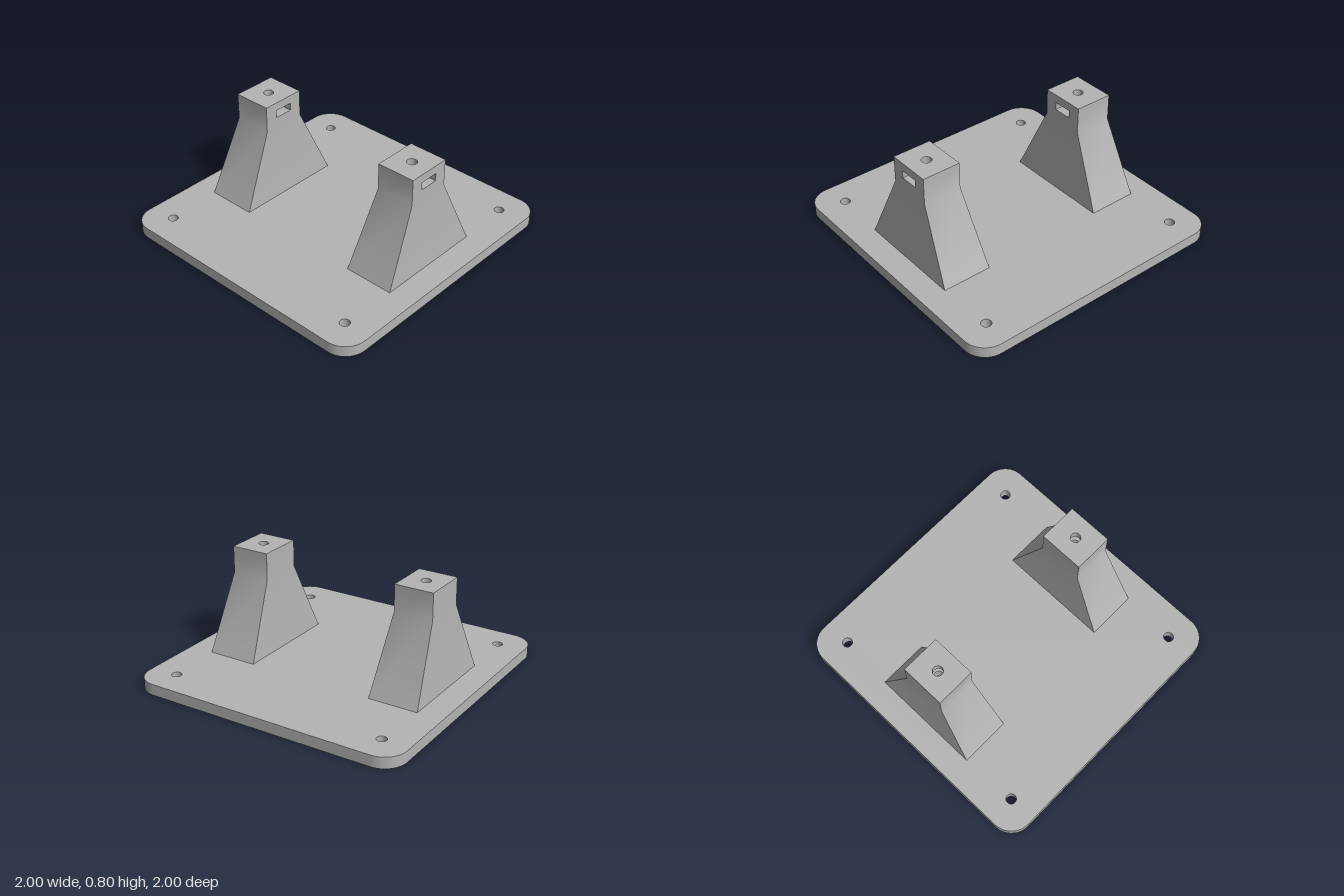
import * as THREE from 'three';
import { mergeGeometries, toCreasedNormals } from 'three/addons/utils/BufferGeometryUtils.js';

const PLATE_TOP = 0.08, NECK = 0.61, TOP = 0.8;
const SLOT_LOW = 0.685, SLOT_HIGH = 0.74, SLOT_R = 0.068;
const HOLE_R = 0.035, HOLE_FLOOR = 0.6;

// Keep positions only, so that pieces can be merged
function bare(geometry) {
  const g = geometry.index ? geometry.toNonIndexed() : geometry;
  g.deleteAttribute('normal');
  g.deleteAttribute('uv');
  return g;
}

// Walls between two matching outlines of [x, y, z] points
function walls(low, high) {
  const p = [];
  for (let i = 0; i < low.length - 1; i++) {
    p.push(...low[i], ...low[i + 1], ...high[i + 1], ...low[i], ...high[i + 1], ...high[i]);
  }
  const g = new THREE.BufferGeometry();
  g.setAttribute('position', new THREE.Float32BufferAttribute(p, 3));
  return g;
}

function circlePath(x, y, r) {
  return new THREE.Path().absarc(x, y, r, 0, Math.PI * 2, true);
}

// Flat face from [x, y] points with optional holes
function face(points, ...holes) {
  const s = new THREE.Shape(points.map(([x, y]) => new THREE.Vector2(x, y)));
  s.holes.push(...holes);
  return new THREE.ShapeGeometry(s, 12);
}

const rect = (w, y0, y1) => [[-w, y0], [w, y0], [w, y1], [-w, y1]];

function plateGeometry() {
  const r = 0.16, c = 1 - r, s = new THREE.Shape();
  s.absarc(c, c, r, 0, Math.PI / 2);
  s.absarc(-c, c, r, Math.PI / 2, Math.PI);
  s.absarc(-c, -c, r, Math.PI, Math.PI * 1.5);
  s.absarc(c, -c, r, Math.PI * 1.5, Math.PI * 2);
  for (const x of [-0.8, 0.8]) for (const y of [-0.8, 0.8]) s.holes.push(circlePath(x, y, HOLE_R));
  const g = new THREE.ExtrudeGeometry(s, { depth: PLATE_TOP, bevelEnabled: false, curveSegments: 12 });
  g.rotateX(-Math.PI / 2);
  return toCreasedNormals(bare(g), 0.6);
}

function postGeometry() {
  const w = 0.16, d = 0.14;
  // Outline starting at the front right corner, running round the back
  const loop = (hw, hd, y) => [[hw, y, hd], [hw, y, -hd], [-hw, y, -hd], [-hw, y, hd]];
  const foot = loop(0.4, 0.18, PLATE_TOP), neck = loop(w, d, NECK), top = loop(w, d, TOP);

  // Nut pocket: open at the front, half a hexagon at the back
  const h = SLOT_R * Math.sqrt(3) / 2;
  const pocket = [[-SLOT_R, d], [-SLOT_R, 0], [-SLOT_R / 2, -h], [SLOT_R / 2, -h], [SLOT_R, 0], [SLOT_R, d]];
  const flipped = pocket.map(([x, z]) => [x, -z]);
  const at = y => pocket.map(([x, z]) => [x, y, z]);
  const slot = new THREE.Path(rect(SLOT_R, SLOT_LOW, SLOT_HIGH).map(([x, y]) => new THREE.Vector2(x, y)));
  const hole = () => circlePath(0, 0, HOLE_R);

  // Inward-facing length of the screw hole
  const bore = (y0, y1) => new THREE.CylinderGeometry(HOLE_R, HOLE_R, y1 - y0, 24, 1, true)
    .scale(-1, 1, 1).translate(0, (y0 + y1) / 2, 0);

  const parts = [
    walls([...foot, foot[0]], [...neck, neck[0]]),
    walls(neck, top),
    face(rect(w, NECK, TOP), slot).translate(0, 0, d),
    face(rect(w, -d, d), hole()).rotateX(-Math.PI / 2).translate(0, TOP, 0),
    walls(at(SLOT_LOW), at(SLOT_HIGH)),
    face(flipped, hole()).rotateX(-Math.PI / 2).translate(0, SLOT_LOW, 0),
    face(pocket, hole()).rotateX(Math.PI / 2).translate(0, SLOT_HIGH, 0),
    bore(SLOT_HIGH, TOP),
    bore(HOLE_FLOOR, SLOT_LOW),
    new THREE.CircleGeometry(HOLE_R, 24).rotateX(-Math.PI / 2).translate(0, HOLE_FLOOR, 0),
  ];
  return toCreasedNormals(mergeGeometries(parts.map(bare)), 0.5);
}

export function createModel() {
  const group = new THREE.Group();
  group.name = 'mountingBracket';
  const grey = new THREE.MeshStandardMaterial({ color: 0xb4b4b4 });
  grey.name = 'grey';

  const plate = new THREE.Mesh(plateGeometry(), grey);
  plate.name = 'basePlate';
  group.add(plate);

  // Two identical posts, both with the nut slot facing the front
  const geometry = postGeometry();
  for (const [name, z] of [['frontPost', 0.64], ['backPost', -0.64]]) {
    const post = new THREE.Mesh(geometry, grey);
    post.name = name;
    post.position.z = z;
    group.add(post);
  }
  return group;
}
